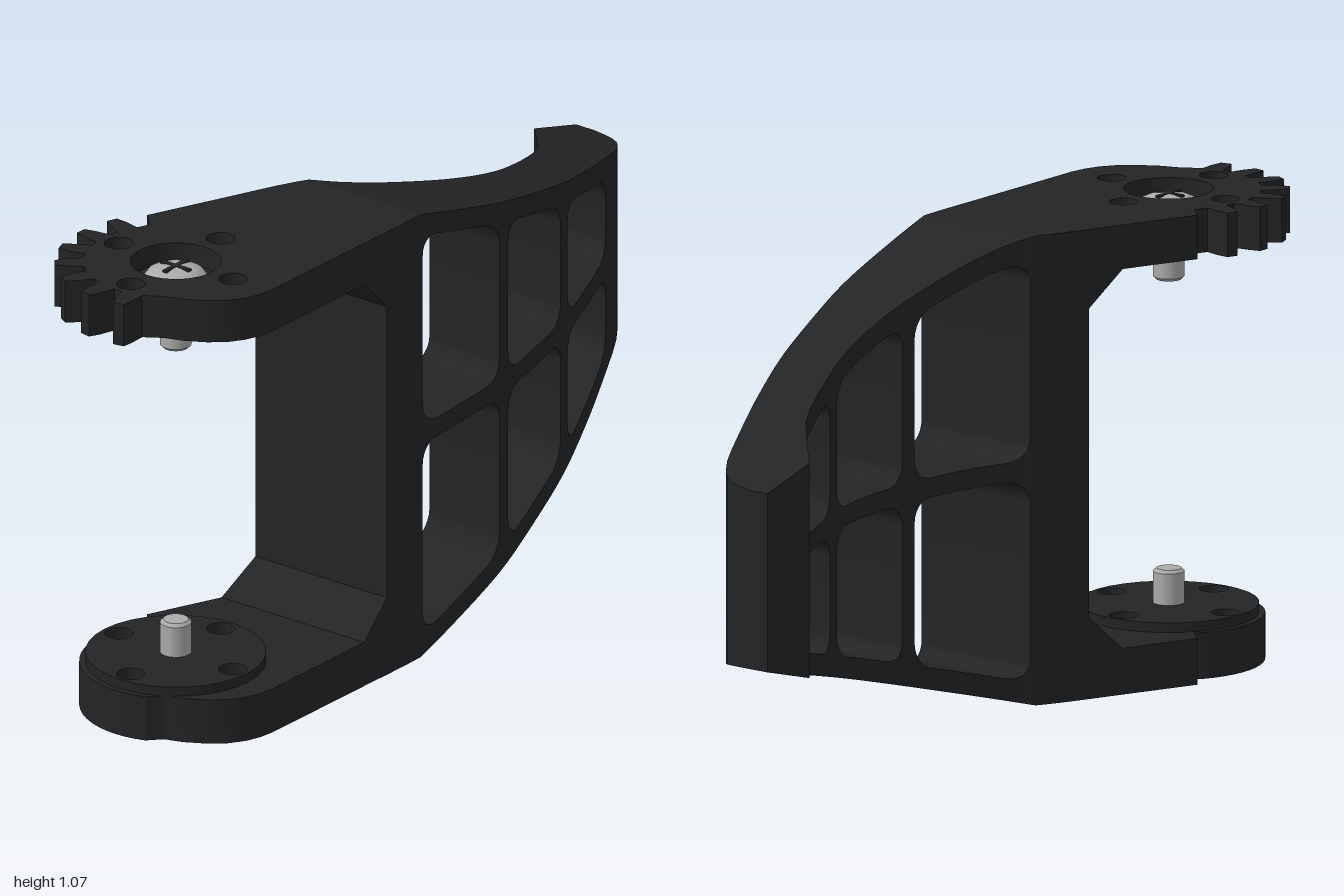
import * as THREE from 'three';
import { toCreasedNormals } from 'three/addons/utils/BufferGeometryUtils.js';

const H = 1.065, ARM = 0.105, JOIN = -0.5, HUB_X = -0.735;
const black = new THREE.MeshStandardMaterial({ color: 0x232426 });
const steel = new THREE.MeshStandardMaterial({ color: 0xaaaaaa });

// Smooth curve through [x, z] points, returned as z(x)
function profile(points) {
  const pts = new THREE.SplineCurve(points.map(p => new THREE.Vector2(...p))).getPoints(120);
  return x => {
    let i = 1;
    while (i < pts.length - 1 && pts[i].x < x) i++;
    const a = pts[i - 1], b = pts[i];
    const t = THREE.MathUtils.clamp((x - a.x) / (b.x - a.x || 1), 0, 1);
    return a.y + (b.y - a.y) * t;
  };
}
const zFront = profile([[-0.6, 0.265], [-0.4, 0.265], [-0.24, 0.265], [-0.08, 0.257], [0.12, 0.235], [0.3, 0.192],
  [0.467, 0.142], [0.64, 0.072], [0.795, 0], [0.895, -0.05], [0.945, -0.085], [0.98, -0.13], [1, -0.195]]);
const backCurve = profile([[-0.575, -0.207], [-0.41, -0.14], [-0.24, -0.07], [-0.13, -0.01], [0, 0.024], [0.2, 0.04],
  [0.4, 0.013], [0.645, -0.083], [0.75, -0.158], [0.85, -0.245]]);
const zBack = x => (x >= 0.85 ? -0.245 : backCurve(x));
const taper = x => 0.275 * Math.max(0, x + 0.2);

// Openings through the body: the gap between the arms, then three pairs of windows
const R = 0.05;
const corner = (x, x0, x1) => {
  const d = Math.max(0, Math.min(x - x0, x1 - x));
  return d >= R ? 0 : R - Math.sqrt(R * R - (R - d) ** 2);
};
const openings = [{
  x0: JOIN, x1: -0.32, open: true,
  lo: x => ARM + Math.max(0, x + 0.4), hi: x => H - ARM + 0.005 - Math.max(0, x + 0.4),
}];
for (const [x0, x1] of [[-0.19, 0.12], [0.16, 0.445], [0.49, 0.795]]) {
  const outer = x => taper(x) + 0.05 + corner(x, x0, x1);
  const inner = x => H / 2 - 0.022 - corner(x, x0, x1);
  openings.push({ x0, x1, lo: outer, hi: inner });
  openings.push({ x0, x1, lo: x => H - inner(x), hi: x => H - outer(x) });
}

// Curved, tapered frame built column by column between the openings
function frameGeometry() {
  const xs = new Set([-0.4, -0.2, 0.85, 0.96, 0.98, 0.99, 1]);
  for (let i = 0; i <= 37; i++) xs.add(+(JOIN + i * 0.04).toFixed(4));
  for (const { x0, x1, open } of openings) {
    xs.add(x0).add(x1);
    if (!open) for (let k = 1; k <= 6; k++) {
      const d = R * (1 - Math.cos(k * Math.PI / 12));
      xs.add(x0 + d).add(x1 - d);
    }
  }
  const cols = [...xs].sort((a, b) => a - b).filter((x, i, s) => !i || x - s[i - 1] > 1e-6);
  const pos = [];
  const quad = (a, b, c, d) => pos.push(...a, ...b, ...c, ...a, ...c, ...d);
  const wall = (x, lo, hi, dir) => {
    const q = [[x, lo, zFront(x)], [x, lo, zBack(x)], [x, hi, zBack(x)], [x, hi, zFront(x)]];
    quad(...(dir > 0 ? q : q.reverse()));
  };
  for (let i = 0; i < cols.length - 1; i++) {
    const a = cols[i], b = cols[i + 1], mid = (a + b) / 2;
    const edges = [taper];
    for (const o of openings) if (mid > o.x0 && mid < o.x1) edges.push(o.lo, o.hi);
    edges.push(x => H - taper(x));
    for (let e = 0; e < edges.length; e += 2) {
      const lo = edges[e], hi = edges[e + 1];
      const F = (x, y) => [x, y(x), zFront(x)], B = (x, y) => [x, y(x), zBack(x)];
      quad(F(a, lo), F(b, lo), F(b, hi), F(a, hi));
      quad(B(b, lo), B(a, lo), B(a, hi), B(b, hi));
      quad(F(a, hi), F(b, hi), B(b, hi), B(a, hi));
      quad(B(a, lo), B(b, lo), F(b, lo), F(a, lo));
    }
  }
  for (const o of openings) {
    if (!o.open) wall(o.x0, o.lo(o.x0), o.hi(o.x0), 1);
    wall(o.x1, o.lo(o.x1), o.hi(o.x1), -1);
  }
  wall(1, taper(1), H - taper(1), 1);
  const g = new THREE.BufferGeometry();
  g.setAttribute('position', new THREE.Float32BufferAttribute(pos, 3));
  return toCreasedNormals(g, 0.5);
}

// Upright slab from a plan outline, with round holes
function slab(shape, holes, y, height) {
  for (const [x, v, r] of holes) shape.holes.push(new THREE.Path().absarc(x, v, r, 0, Math.PI * 2, true));
  const g = new THREE.ExtrudeGeometry(shape, { depth: height, bevelEnabled: false, curveSegments: 16 });
  g.rotateX(-Math.PI / 2).translate(0, y, 0);
  return toCreasedNormals(g, 0.5);
}
const boltHoles = [0, 1, 2, 3].map(k =>
  [HUB_X + 0.16 * Math.cos(k * Math.PI / 2), 0.16 * Math.sin(k * Math.PI / 2), 0.032]);

// Plan outline of an arm end, with or without gear teeth
function armShape(toothed) {
  const pts = [];
  const polar = (deg, r) => {
    const a = THREE.MathUtils.degToRad(deg);
    pts.push(new THREE.Vector2(HUB_X + r * Math.cos(a), r * Math.sin(a)));
  };
  pts.push(new THREE.Vector2(JOIN, -zBack(JOIN)), new THREE.Vector2(-0.575, 0.207));
  polar(54, 0.21);
  if (toothed) {
    for (let t = 70; t <= 190; t += 20)
      for (const [d, r] of [[-7, 0.205], [-5, 0.24], [-2.8, 0.268], [2.8, 0.268], [5, 0.24], [7, 0.205]]) polar(t + d, r);
  } else {
    for (let t = 60; t <= 200; t += 7) polar(t, 0.213);
  }
  for (const p of [[-0.905, -0.1], [-0.89, -0.145], [-0.865, -0.19], [-0.835, -0.225], [-0.8, -0.248], [-0.765, -0.26],
    [-0.725, -0.265], [JOIN, -0.265]]) pts.push(new THREE.Vector2(...p));
  return new THREE.Shape(pts);
}

export function createModel() {
  const model = new THREE.Group();
  const add = (parent, name, geometry, material = black) => {
    const m = new THREE.Mesh(geometry, material);
    m.name = name;
    parent.add(m);
    return m;
  };

  add(model, 'windowedFrame', frameGeometry());

  // Arm ends around the pivot
  const armHoles = [...boltHoles, [HUB_X, 0, 0.1]];
  add(model, 'upperGearArm', slab(armShape(true), armHoles, H - 0.1, 0.1));
  add(model, 'lowerArm', slab(armShape(false), armHoles, 0, ARM));

  // Raised pads on the inner faces
  const pad = new THREE.Shape().absarc(HUB_X, 0, 0.2, 0, Math.PI * 2);
  add(model, 'lowerPivotPad', slab(pad, boltHoles, ARM, 0.022));
  const boss = new THREE.CylinderGeometry(0.108, 0.108, 0.021, 40);
  add(model, 'upperPivotBoss', boss).position.set(HUB_X, H - 0.1105, 0);

  // Recessed screw, pointing inward from each arm
  const lathe = pts => toCreasedNormals(new THREE.LatheGeometry(pts.map(p => new THREE.Vector2(...p)), 32), 0.6);
  for (const upper of [true, false]) {
    const pivot = new THREE.Group();
    pivot.name = upper ? 'upperPivotScrew' : 'lowerPivotScrew';
    pivot.position.set(HUB_X, upper ? H : 0, 0);
    if (!upper) pivot.rotation.x = Math.PI;
    add(pivot, 'recessFloor', new THREE.CylinderGeometry(0.1, 0.1, 0.05, 40)).position.y = -0.075;
    add(pivot, 'screwHead', lathe([[0, -0.05], [0.072, -0.05], [0.072, -0.038], [0.062, -0.024], [0.042, -0.015],
      [0.02, -0.011], [0, -0.01]]), steel);
    add(pivot, 'screwShaft', lathe([[0, -0.205], [0.028, -0.205], [0.035, -0.198], [0.035, -0.06], [0, -0.06]]), steel);
    for (const turn of [0, Math.PI / 2])
      add(pivot, 'crossSlot', new THREE.BoxGeometry(0.08, 0.006, 0.012), black).rotation.y = turn;
    pivot.children.filter(c => c.name === 'crossSlot').forEach(c => { c.position.y = -0.0125; });
    model.add(pivot);
  }
  return model;
}
